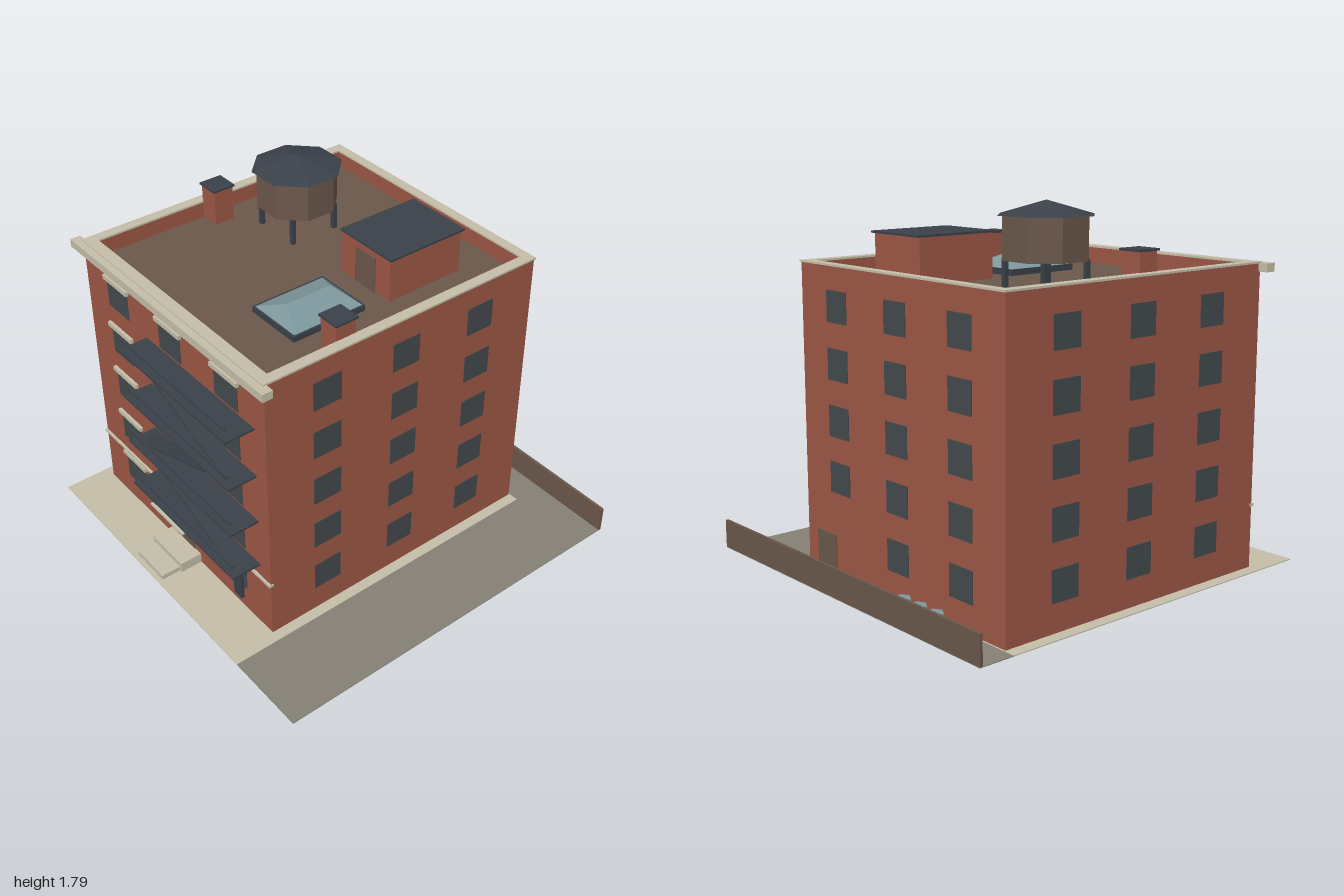
import * as THREE from 'three';

export function createModel() {
  const model = new THREE.Group();
  model.name = 'apartmentBlock';

  const mat = (name, color, extra = {}) => {
    const m = new THREE.MeshStandardMaterial({ color, ...extra });
    m.name = name;
    return m;
  };
  const brick = mat('brick', 0x9c5745);
  const stone = mat('stone', 0xc4bda8);
  const paving = mat('paving', 0x858074);
  const brown = mat('brownTimber', 0x6a574a);
  const pane = mat('windowPane', 0x43494d);
  const iron = mat('darkIron', 0x3a4149);
  const glass = mat('paleGlass', 0x7d979c, { flatShading: true });

  const add = (name, geo, material, parent = model) => {
    const m = new THREE.Mesh(geo, material);
    m.name = name;
    parent.add(m);
    return m;
  };
  // box given by its limits on each axis
  const box = (name, material, x0, x1, y0, y1, z0, z1, parent = model) => {
    const g = new THREE.BoxGeometry(x1 - x0, y1 - y0, z1 - z0);
    g.translate((x0 + x1) / 2, (y0 + y1) / 2, (z0 + z1) / 2);
    return add(name, g, material, parent);
  };
  const group = (name) => {
    const g = new THREE.Group();
    g.name = name;
    model.add(g);
    return g;
  };
  // rectangular ring lying flat, limits are [x0, x1, z0, z1]
  const ring = (name, material, o, i, y0, y1) => {
    const rect = (P, [x0, x1, z0, z1]) => {
      const p = new P();
      p.moveTo(x0, -z0).lineTo(x0, -z1).lineTo(x1, -z1).lineTo(x1, -z0).closePath();
      return p;
    };
    const s = rect(THREE.Shape, o);
    s.holes.push(rect(THREE.Path, i));
    const g = new THREE.ExtrudeGeometry(s, { depth: y1 - y0, bevelEnabled: false });
    g.rotateX(-Math.PI / 2).translate(0, y0, 0);
    return add(name, g, material);
  };

  // plot
  box('sidewalk', stone, -1, 0.57, 0.0005, 0.005, -0.82, 1);
  box('sideYard', paving, 0.57, 1, 0.0005, 0.004, -0.82, 1);
  box('backYard', paving, -1, 1, 0.0005, 0.004, -1, -0.82);
  box('backFence', brown, -1, 1, 0.0005, 0.145, -1, -0.985);

  // main block, with a roof sunk behind the parapet
  const X0 = -0.94, X1 = 0.515, Z0 = -0.813, Z1 = 0.753, ROOF = 1.4;
  box('walls', brick, X0, X1, 0, ROOF - 0.004, Z0, Z1);
  box('roofDeck', brown, X0 + 0.01, X1 - 0.01, ROOF - 0.008, ROOF, Z0 + 0.01, Z1 - 0.01);
  ring('parapet', brick, [X0, X1, Z0, Z1], [-0.892, 0.467, -0.772, 0.702], ROOF - 0.004, 1.481);
  ring('parapetCap', stone, [-0.945, 0.52, -0.82, 0.76], [-0.89, 0.465, -0.77, 0.7], 1.481, 1.49);
  box('cornice', stone, -0.99, 0.565, 1.443, 1.484, 0.742, 0.797);
  box('stringCourse', stone, -0.945, 0.52, 0.312, 0.325, 0.74, 0.765);

  // windows on all four sides
  const windows = group('windows'), lintels = group('lintels');
  for (let row = 0; row < 5; row++) {
    const y0 = 0.14 + 0.27 * row, y1 = y0 + 0.15;
    for (let col = -1; col <= 1; col++) {
      const x = -0.212 + 0.443 * col, z = -0.03 + 0.45 * col;
      if (row > 0 || col !== 0) {
        box('frontWindow', pane, x - 0.0875, x + 0.0875, y0, y1, Z1 - 0.002, Z1 + 0.004, windows);
        box('lintel', stone, x - 0.103, x + 0.103, y1 - 0.003, y1 + 0.02, Z1 - 0.002, Z1 + 0.017, lintels);
      }
      if (row > 0 || col < 1)
        box('backWindow', pane, x - 0.0775, x + 0.0775, y0, y1, Z0 - 0.004, Z0 + 0.002, windows);
      for (const wx of [X0, X1])
        box('sideWindow', pane, wx - 0.003, wx + 0.003, y0, y1, z - 0.0775, z + 0.0775, windows);
    }
  }

  // entrances
  box('frontDoor', brown, -0.29, -0.135, 0.06, 0.25, Z1 - 0.002, Z1 + 0.005);
  box('doorCanopy', stone, -0.355, -0.07, 0.263, 0.272, Z1 - 0.005, 0.862);
  box('upperStep', stone, -0.343, -0.087, 0.003, 0.06, Z1 - 0.005, 0.872);
  box('lowerStep', stone, -0.328, -0.103, 0.003, 0.03, 0.87, 0.975);
  box('backDoor', brown, 0.275, 0.43, 0.005, 0.2, Z0 - 0.005, Z0 + 0.002);

  // fire escape
  const escape = group('fireEscape');
  const levels = [0.393, 0.663, 0.933, 1.2];
  for (const y of levels) {
    box('landing', iron, -0.418, 0.435, y - 0.005, y + 0.005, Z1 - 0.003, 0.907, escape);
    box('handrail', iron, -0.418, 0.435, y + 0.07, y + 0.08, 0.899, 0.909, escape);
  }
  const flight = (xa, ya, xb, yb) => {
    const len = Math.hypot(xb - xa, yb - ya);
    const f = add('stairFlight', new THREE.BoxGeometry(len, 0.011, 0.088), iron, escape);
    f.position.set((xa + xb) / 2, (ya + yb) / 2, 0.831);
    f.rotation.z = Math.atan2(yb - ya, xb - xa);
  };
  flight(-0.335, levels[3], 0.4, levels[2]);
  flight(0.375, levels[2], -0.375, levels[1]);
  flight(-0.335, levels[1], 0.4, levels[0]);
  box('dropLadder', iron, 0.342, 0.4, 0.2, 0.393, 0.825, 0.843, escape);

  // water tank on four legs
  const tank = group('waterTank');
  tank.position.set(-0.532, 0, -0.222);
  const k = 1 / Math.cos(Math.PI / 8);
  const octagon = (rTop, rBottom, y0, y1) => new THREE.CylinderGeometry(rTop * k, rBottom * k, y1 - y0, 8)
    .toNonIndexed().rotateY(Math.PI / 8).translate(0, (y0 + y1) / 2, 0);
  const flat = (g) => { g.computeVertexNormals(); return g; };
  add('tankBarrel', flat(octagon(0.187, 0.187, 1.535, 1.73)), brown, tank);
  add('tankRoof', flat(octagon(0, 0.209, 1.73, 1.795)), iron, tank);
  for (const sx of [-0.127, 0.127])
    for (const sz of [-0.127, 0.127])
      box('tankLeg', iron, sx - 0.011, sx + 0.011, ROOF, 1.536, sz - 0.011, sz + 0.011, tank);

  // stair house
  box('stairHouse', brick, -0.065, 0.275, ROOF - 0.002, 1.62, -0.56, -0.13);
  box('stairHouseRoof', iron, -0.075, 0.285, 1.618, 1.628, -0.575, -0.125);
  box('stairHouseDoor', brown, 0.035, 0.175, ROOF, 1.585, -0.132, -0.125);

  // chimneys
  for (const [x, z, top] of [[-0.842, 0.042, 1.59], [0.412, 0.278, 1.575]]) {
    box('chimney', brick, x - 0.054, x + 0.054, ROOF - 0.002, top - 0.008, z - 0.054, z + 0.054);
    box('chimneyCap', iron, x - 0.062, x + 0.062, top - 0.01, top, z - 0.062, z + 0.062);
  }

  // skylight: a box whose top edge is pulled in to a ridge
  box('skylightCurb', iron, -0.05, 0.26, ROOF - 0.002, 1.43, 0, 0.405);
  const hip = new THREE.BoxGeometry(0.29, 0.06, 0.385);
  const p = hip.attributes.position;
  for (let i = 0; i < p.count; i++)
    if (p.getY(i) > 0) p.setXYZ(i, 0, 0.03, Math.sign(p.getZ(i)) * 0.123);
  add('skylightGlass', hip, glass).position.set(0.105, 1.46, 0.2025);

  // bins behind the building
  for (const x of [-0.57, -0.455, -0.34])
    add('bin', new THREE.CylinderGeometry(0.045, 0.045, 0.08, 6), glass).position.set(x, 0.043, -0.893);

  return model;
}
